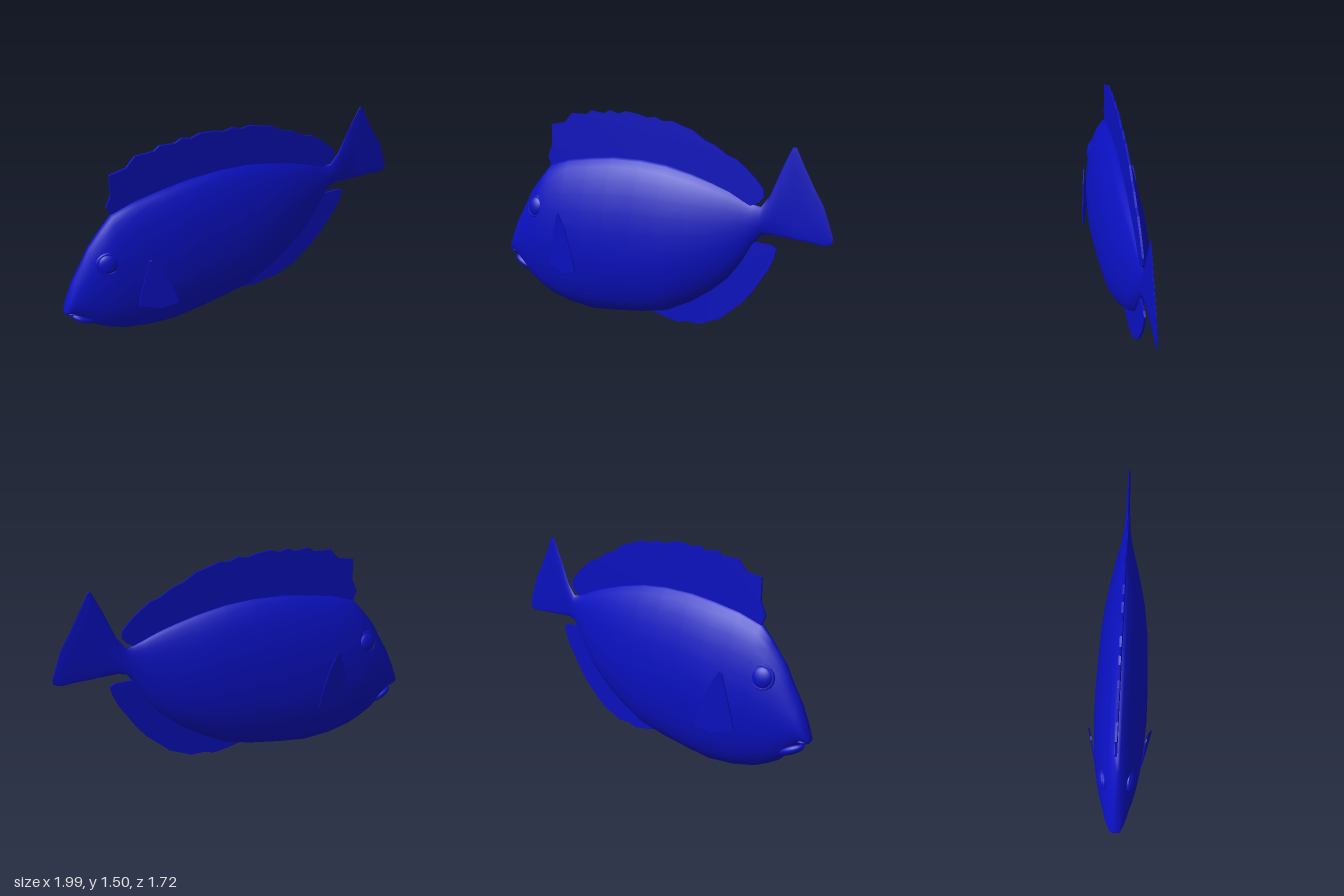
import * as THREE from 'three';

const blue = new THREE.MeshStandardMaterial({ color: 0x0a10c0 });
const blueThin = new THREE.MeshStandardMaterial({ color: 0x0a10c0, side: THREE.DoubleSide });

// Body stations from snout to tail tip: [along, top, bottom, half width]
const STATIONS = [
  [-1.29, .378, .37, 0], [-1.285, .41, .355, .035], [-1.25, .51, .35, .055],
  [-1.2, .63, .31, .075], [-1.13, .75, .235, .095], [-1.07, .86, .17, .115],
  [-.98, .97, .115, .138], [-.89, 1.07, .07, .155], [-.72, 1.12, .025, .175],
  [-.52, 1.15, .003, .188], [-.33, 1.17, .02, .188], [-.1, 1.17, .05, .18],
  [.1, 1.15, .09, .172], [.3, 1.105, .19, .148], [.45, 1.06, .29, .118],
  [.58, 1.015, .4, .088], [.68, .97, .53, .06], [.75, .94, .65, .04],
  [.81, .93, .735, .028], [.87, 1.01, .75, .02], [.95, 1.2, .745, .014],
  [1.02, 1.345, .742, .01], [1.045, 1.345, .738, .009], [1.1, 1.23, .735, .008],
  [1.18, 1.08, .73, .007], [1.24, .98, .722, .006], [1.28, .87, .725, .004],
  [1.308, .79, .74, .003], [1.312, .77, .765, 0],
];
const RING = 28;

// Lens-like section: rounded belly, narrower back; sideways drift toward the tail
function sectionPoint([u, top, bottom, half], a) {
  const mid = bottom + (top - bottom) * .43;
  const c = Math.cos(a), s = Math.sin(a);
  const y = mid + c * (c > 0 ? top - mid : mid - bottom);
  const w = Math.sign(s) * Math.pow(Math.abs(s), c > 0 ? 1.3 : 1) * half;
  return [u, y, w - .012 * THREE.MathUtils.smoothstep(u, .1, .8)];
}

function bodyGeometry() {
  const pos = [], index = [];
  STATIONS.forEach((st, i) => {
    for (let j = 0; j < RING; j++) {
      pos.push(...sectionPoint(st, (j / RING) * Math.PI * 2));
      if (i === STATIONS.length - 1) continue;
      const a = i * RING + j, b = i * RING + (j + 1) % RING;
      index.push(a, b, a + RING, b, b + RING, a + RING);
    }
  });
  const g = new THREE.BufferGeometry();
  g.setAttribute('position', new THREE.Float32BufferAttribute(pos, 3));
  g.setIndex(index);
  g.computeVertexNormals();
  return g;
}

// Thin plate from an outline, centred on its own plane
function finGeometry(points, depth) {
  const shape = new THREE.Shape(points.map(([x, y]) => new THREE.Vector2(x, y)));
  const g = new THREE.ExtrudeGeometry(shape, { depth, bevelEnabled: false });
  return g.translate(0, 0, -depth / 2);
}

export function createModel() {
  const model = new THREE.Group();
  model.name = 'fish';
  const fish = new THREE.Group();
  fish.name = 'fishBody';
  fish.rotation.y = .705; // swims along the diagonal
  model.add(fish);

  const add = (name, geometry, material = blue) => {
    const mesh = new THREE.Mesh(geometry, material);
    mesh.name = name;
    fish.add(mesh);
    return mesh;
  };

  add('bodyAndTail', bodyGeometry());

  // Lower jaw and upper lip around the small mouth
  const jaw = add('lowerJaw', new THREE.SphereGeometry(1, 20, 12));
  jaw.scale.set(.11, .04, .07);
  jaw.position.set(-1.145, .275, 0);
  jaw.rotation.z = -.45;
  const lip = add('upperLip', new THREE.SphereGeometry(1, 16, 10));
  lip.scale.set(.06, .022, .05);
  lip.position.set(-1.225, .362, 0);

  // Ragged dorsal fin
  const stretch = 1.312;
  const dorsal = [
    [-.68, 1.06], [-.7, 1.13], [-.67, 1.22], [-.67, 1.37], [-.58, 1.39], [-.53, 1.46],
    [-.43, 1.46], [-.4, 1.49], [-.32, 1.475], [-.28, 1.5], [-.23, 1.48], [-.18, 1.5],
    [-.1, 1.485], [-.05, 1.465], [0, 1.475], [.05, 1.45], [.1, 1.455], [.18, 1.42],
    [.23, 1.4], [.3, 1.34], [.36, 1.31], [.43, 1.25], [.48, 1.23], [.54, 1.17],
    [.59, 1.11], [.63, 1.05], [.635, 1], [.61, .96], [.57, .935],
    [.5, .92], [.2, 1.05], [-.1, 1.1], [-.5, 1.05],
  ];
  // Anal fin under the rear of the body
  const anal = [
    [-.03, .075], [.07, .04], [.15, .02], [.2, .04], [.28, .035], [.33, .065], [.4, .1],
    [.46, .17], [.53, .25], [.58, .33], [.63, .43], [.67, .51], [.7, .6], [.71, .66],
    [.68, .68], [.6, .685], [.55, .68], [.48, .6], [.35, .4], [.15, .2],
  ];
  for (const [name, outline] of [['dorsalFin', dorsal], ['analFin', anal]]) {
    const fin = add(name, finGeometry(outline.map(([x, y]) => [x * stretch, y]), .014));
    fin.position.z = -.005;
  }

  // Paired eyes and pectoral fins
  for (const side of [1, -1]) {
    const label = side > 0 ? 'left' : 'right';
    const eye = new THREE.Group();
    eye.name = label + 'Eye';
    eye.position.set(-.975, .755, side * .1);
    eye.rotation.set(-side * .2, -side * .2, 0);
    const ball = new THREE.Mesh(new THREE.SphereGeometry(1, 20, 14), blue);
    ball.name = 'eyeball';
    ball.scale.set(.072, .072, .032);
    const rim = new THREE.Mesh(new THREE.TorusGeometry(.074, .012, 8, 24), blue);
    rim.name = 'eyeRim';
    eye.add(ball, rim);
    fish.add(eye);

    // Triangular pectoral fin flaring away from the flank toward its rear edge
    const g = finGeometry([
      [-.81, .36], [-.66, .31], [-.55, .33], [-.535, .345], [-.58, .5], [-.64, .65],
      [-.7, .75], [-.72, .74], [-.78, .5],
    ], .008);
    const p = g.attributes.position;
    for (let i = 0; i < p.count; i++) {
      p.setZ(i, side * (p.getZ(i) + .167 + (p.getX(i) + .8) * .235));
    }
    g.computeVertexNormals();
    add(label + 'PectoralFin', g, blueThin);
  }
  return model;
}
